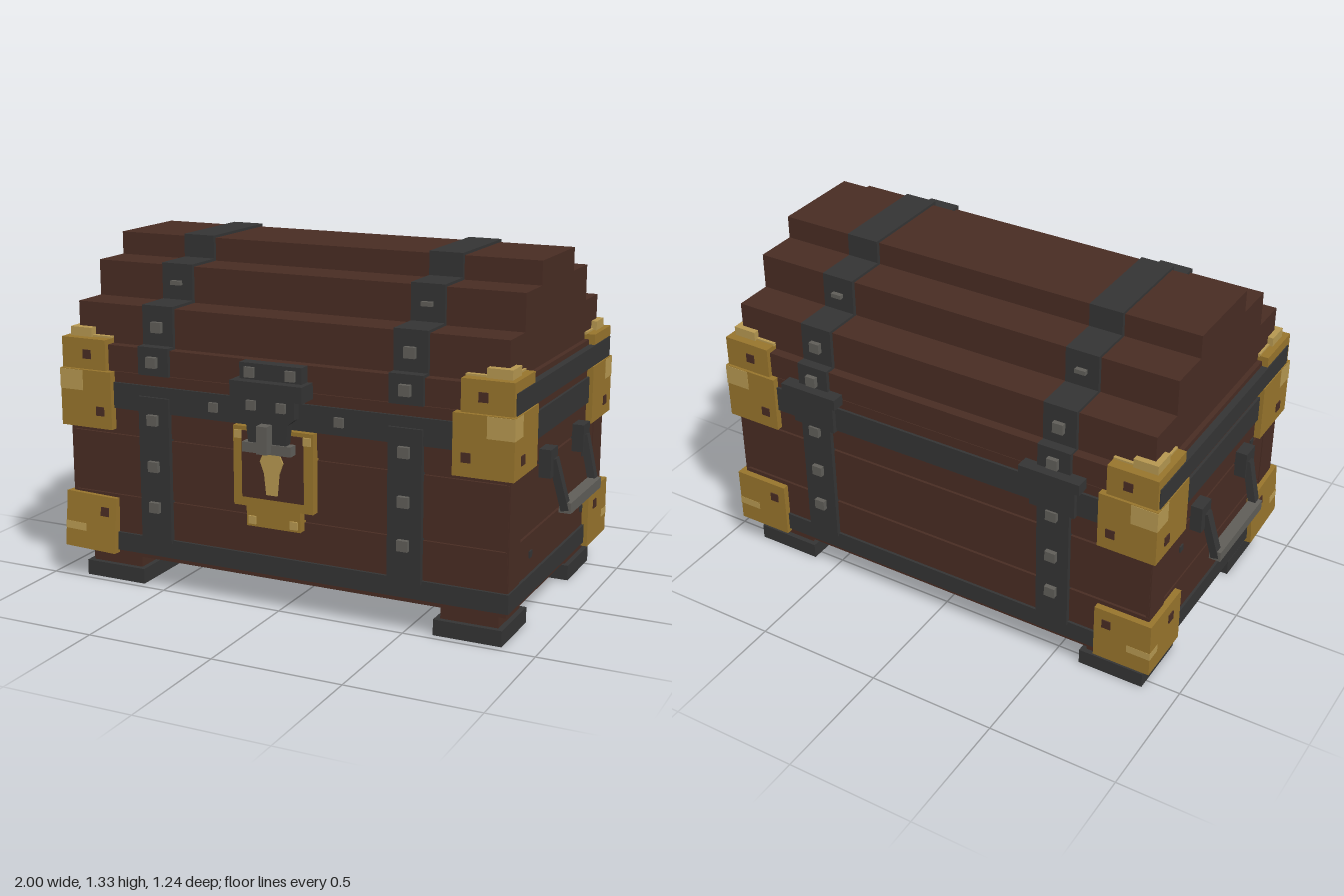
import * as THREE from 'three';

const paint = (name, color) => {
  const m = new THREE.MeshStandardMaterial({ color });
  m.name = name;
  return m;
};

export function createModel() {
  const wood = paint('dark wood', 0x482c23);
  const iron = paint('black iron', 0x343434);
  const steel = paint('worn steel', 0x5f5d58);
  const brass = paint('brass', 0x97742c);
  const light = paint('bright brass', 0xb59750);

  const root = new THREE.Group();
  root.name = 'treasureChest';

  // Box given by its limits on each axis
  const box = (name, mat, [x0, x1], [y0, y1], [z0, z1], parent = root) => {
    const m = new THREE.Mesh(new THREE.BoxGeometry(Math.abs(x1 - x0), y1 - y0, z1 - z0), mat);
    m.position.set((x0 + x1) / 2, (y0 + y1) / 2, (z0 + z1) / 2);
    m.name = name;
    parent.add(m);
    return m;
  };
  // Small square stud, by centre and size
  const stud = (name, mat, x, y, z, sx, sy, sz, parent = root) =>
    box(name, mat, [x - sx / 2, x + sx / 2], [y - sy / 2, y + sy / 2], [z - sz / 2, z + sz / 2], parent);
  // Flat outline pushed out along +z
  const plate = (name, mat, pts, z, depth, hole) => {
    const s = new THREE.Shape(pts.map(p => new THREE.Vector2(...p)));
    if (hole) s.holes.push(new THREE.Path(hole.map(p => new THREE.Vector2(...p))));
    const m = new THREE.Mesh(new THREE.ExtrudeGeometry(s, { depth, bevelEnabled: false }), mat);
    m.position.z = z;
    m.name = name;
    root.add(m);
    return m;
  };
  const rect = (a, b) => [[-a, -b], [a, -b], [a, b], [-a, b]];

  // Body: core with three rows of planks
  box('bodyCore', wood, [-0.88, 0.88], [0.122, 0.845], [-0.56, 0.49]);
  for (const r of [[0.122, 0.36], [0.37, 0.6], [0.61, 0.845]])
    box('bodyPlank', wood, [-0.89, 0.89], r, [-0.57, 0.5]);

  // Iron bands around the body
  box('bottomBand', iron, [-0.9, 0.9], [0.14, 0.212], [-0.58, 0.51]);
  box('upperBand', iron, [-0.9, 0.9], [0.705, 0.805], [-0.58, 0.51]);
  for (const x of [-0.255, 0.255]) stud('bandRivet', steel, x, 0.755, 0.512, 0.035, 0.035, 0.02);

  // Stepped lid: half-length, height range, depth range
  const tiers = [
    [0.885, [0.847, 0.945], [-0.57, 0.5]],
    [0.866, [0.94, 1.095], [-0.532, 0.46]],
    [0.866, [1.09, 1.232], [-0.382, 0.312]],
    [0.866, [1.23, 1.32], [-0.217, 0.147]],
  ];
  for (const [hx, y, z] of tiers) {
    box('lidStep', wood, [-hx, hx], y, z);
    // Straps wrap each step
    for (const c of [-0.51, 0.51])
      box('lidStrap', iron, [c - 0.065, c + 0.065], [y[0], y[1] + 0.01], [z[0] - 0.015, z[1] + 0.015]);
  }

  for (const c of [-0.51, 0.51]) {
    const wide = w => [c - w, c + w];
    // Body straps and hinges
    box('bodyStrap', iron, wide(0.065), [0.2, 0.765], [-0.587, 0.52]);
    box('hingeLeaf', iron, wide(0.09), [0.7, 0.83], [-0.597, -0.57]);
    box('hingeKnuckle', iron, wide(0.12), [0.825, 0.868], [-0.622, -0.57]);
    // Strap rivets, front and back
    for (const [y, front, back] of [
      [0.34, 0.523, -0.59], [0.5, 0.523, -0.59], [0.68, 0.523, -0.59],
      [0.9, 0.52, -0.588], [1.025, 0.478, -0.55], [1.17, 0.33, -0.4],
    ]) {
      const h = y > 1.1 ? 0.016 : 0.04;
      stud('strapRivet', steel, c, y, front, 0.042, h, 0.03);
      stud('strapRivet', steel, c, y, back, 0.042, h, 0.03);
    }
  }

  for (const s of [-1, 1]) {
    const X = (a, b) => (s > 0 ? [a, b] : [-b, -a]);
    // Side band on the lid and upright boards on the end
    box('lidSideBand', iron, X(0.88, 0.912), [0.847, 0.925], [-0.575, 0.505]);
    for (const z of [[0.385, 0.498], [-0.568, -0.455]])
      box('endBoard', wood, X(0.88, 0.894), [0.13, 0.705], z);
    for (const [y, z] of [[0.615, 0.265], [0.285, 0.265], [0.51, -0.33], [0.285, -0.33]])
      stud('endNail', iron, s * 0.89, y, z, 0.01, 0.025, 0.025);

    for (const f of [-1, 1]) {
      const Z = (a, b) => (f > 0 ? [a, b] : [-b - 0.065, -a - 0.065]);
      const face = f > 0 ? 0.53 : -0.595;
      // Brass corners of lid and body
      box('lidCorner', brass, X(0.715, 0.908), [0.847, 0.965], Z(0.315, 0.522));
      box('lidCornerCap', light, X(0.795, 0.888), [0.96, 1.0], Z(0.4, 0.49));
      box('lidCornerTrim', light, X(0.715, 0.875), [0.96, 0.972], Z(0.315, 0.48));
      box('bodyCorner', brass, X(0.69, 0.915), [0.622, 0.845], Z(0.29, 0.53));
      box('cornerPatch', light, X(0.815, 0.916), [0.765, 0.843], Z(0.45, 0.532));
      stud('cornerStud', wood, s * 0.797, 0.905, f > 0 ? 0.522 : -0.587, 0.035, 0.035, 0.008);
      stud('cornerStud', wood, s * 0.74, 0.69, face, 0.035, 0.035, 0.008);
      stud('cornerStud', wood, s * 0.915, 0.682, f > 0 ? 0.447 : -0.515, 0.008, 0.035, 0.035);

      // Bottom corners: one is lost, one hangs loose
      if (!(s > 0 && f > 0)) {
        const corner = new THREE.Group();
        corner.name = 'bottomCorner';
        box('cornerBlock', brass, [-0.1125, 0.1125], [-0.11, 0.11], [-0.12, 0.12], corner);
        stud('cornerStud', wood, -s * 0.063, 0.05, f * 0.12, 0.035, 0.035, 0.008, corner);
        stud('cornerStud', wood, s * 0.1125, 0.045, -f * 0.04, 0.008, 0.035, 0.035, corner);
        box('cornerPatch', light, s > 0 ? [0.02, 0.1135] : [-0.1135, -0.02], [-0.04, -0.01],
          f > 0 ? [0.06, 0.121] : [-0.121, -0.06], corner);
        corner.position.set(s * 0.8025, 0.234, f > 0 ? 0.41 : -0.475);
        if (f > 0) corner.rotation.set(-0.07, 0, -0.03);
        root.add(corner);
      }

      // Hollow feet
      const zc = f > 0 ? 0.34 : -0.41;
      const sole = plate('footSole', iron, rect(0.13, 0.13), 0, 0.06, rect(0.085, 0.085));
      const foot = plate('foot', wood, rect(0.11, 0.11), 0, 0.07, rect(0.075, 0.075));
      for (const m of [sole, foot]) m.rotation.x = -Math.PI / 2;
      sole.position.set(s * 0.735, 0, zc);
      foot.position.set(s * 0.735, 0.055, zc);
      stud('footCore', iron, s * 0.735, 0.105, zc, 0.16, 0.03, 0.16);
    }

    // Carrying handle
    const grip = box('handleGrip', steel, X(0.955, 1.0), [0.415, 0.455], [-0.22, 0.15]);
    grip.name = 'handleGrip';
    for (const e of [-1, 1]) {
      const zc = -0.035;
      stud('handleBracket', iron, s * 0.91, 0.603, zc + e * 0.193, 0.05, 0.105, 0.075);
      const a = new THREE.Vector3(s * 0.93, 0.615, zc + e * 0.185);
      const b = new THREE.Vector3(s * 0.977, 0.425, zc + e * 0.17);
      const arm = new THREE.Mesh(new THREE.BoxGeometry(0.03, a.distanceTo(b), 0.034), iron);
      arm.position.copy(a).lerp(b, 0.5);
      arm.quaternion.setFromUnitVectors(new THREE.Vector3(0, 1, 0), a.clone().sub(b).normalize());
      arm.name = 'handleArm';
      root.add(arm);
    }
  }

  // Lock plate with recessed wooden panel and keyhole cover
  plate('lockPlate', brass, [[-0.11, 0.33], [0.11, 0.33], [0.11, 0.405], [0.162, 0.405], [0.162, 0.705],
    [-0.162, 0.705], [-0.162, 0.405], [-0.11, 0.405]], 0.49, 0.045);
  box('lockPanel', wood, [-0.125, 0.125], [0.44, 0.69], [0.53, 0.54]);
  plate('keyholeCover', light, [[-0.022, 0.46], [0.022, 0.46], [0.03, 0.54], [0.047, 0.585], [0.03, 0.62],
    [-0.03, 0.62], [-0.047, 0.585], [-0.03, 0.54]], 0.538, 0.009);
  for (const x of [-1, 1]) {
    stud('lockStud', light, x * 0.085, 0.355, 0.536, 0.03, 0.03, 0.012);
    stud('lockStud', light, x * 0.14, 0.675, 0.536, 0.03, 0.03, 0.012);
    stud('lockPin', light, x * 0.04, 0.67, 0.545, 0.02, 0.06, 0.03);
    stud('haspRivet', steel, x * 0.082, 0.912, 0.552, 0.038, 0.038, 0.016);
    stud('haspRivet', steel, x * 0.06, 0.8, 0.582, 0.035, 0.035, 0.016);
  }

  // Hasp: hinge on the lid, tapered tongue and staple
  box('haspMount', iron, [-0.125, 0.125], [0.87, 0.945], [0.49, 0.548]);
  box('haspHinge', iron, [-0.145, 0.145], [0.825, 0.885], [0.49, 0.587]);
  plate('haspTongue', iron, [[-0.075, 0.65], [-0.02, 0.65], [-0.02, 0.73], [0.02, 0.73], [0.02, 0.65],
    [0.075, 0.65], [0.085, 0.74], [0.11, 0.76], [0.11, 0.83], [-0.11, 0.83], [-0.11, 0.76], [-0.085, 0.74]],
    0.545, 0.033);
  box('haspBar', steel, [-0.098, 0.098], [0.625, 0.662], [0.545, 0.585]);
  box('staple', steel, [-0.021, 0.021], [0.632, 0.735], [0.53, 0.62]);

  return root;
}
